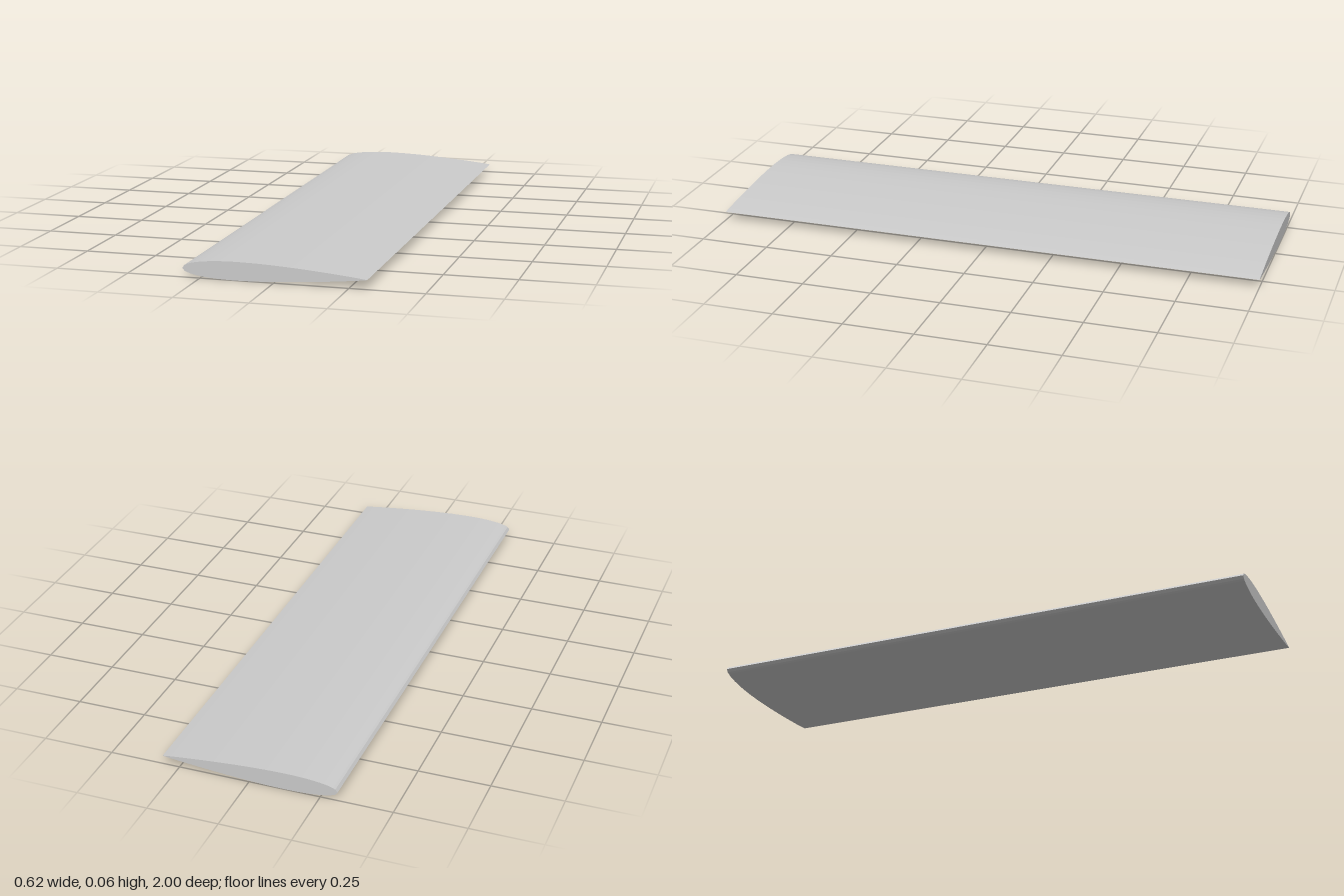
import * as THREE from 'three';

const CHORD = 0.62, THICKNESS = 0.1, SPAN = 2;

// Half thickness of a symmetric aerofoil at chord fraction t, closed at the tail
function halfThickness(t) {
  if (t === 1) return 0;
  return 5 * THICKNESS * (0.2969 * Math.sqrt(t) - 0.126 * t - 0.3516 * t ** 2 + 0.2843 * t ** 3 - 0.1015 * t ** 4);
}

export function createModel() {
  const group = new THREE.Group();
  group.name = 'wing';

  // Chord stations, closer together at the rounded leading edge
  const stations = [0, 0.0125, 0.025, 0.05, 0.075, 0.1, 0.15, 0.2, 0.25, 0.3, 0.4, 0.5, 0.6, 0.7, 0.8, 0.9, 0.95, 1];
  const point = (t, side) =>
    new THREE.Vector2((t - 0.5) * CHORD, CHORD * (THICKNESS / 2 + side * halfThickness(t)));

  // Underside from nose to tail, then upper side back to the nose
  const lower = stations.map((t) => point(t, -1));
  const upper = stations.slice(1, -1).reverse().map((t) => point(t, 1));
  const profile = new THREE.Shape([...lower, ...upper]);

  // Straight wing section with flat end caps
  const geometry = new THREE.ExtrudeGeometry(profile, { depth: SPAN, bevelEnabled: false });
  geometry.translate(0, 0, -SPAN / 2);
  const material = new THREE.MeshStandardMaterial({ color: 0xcccccc, flatShading: true });
  const wing = new THREE.Mesh(geometry, material);
  wing.name = 'wingSection';
  group.add(wing);
  return group;
}
